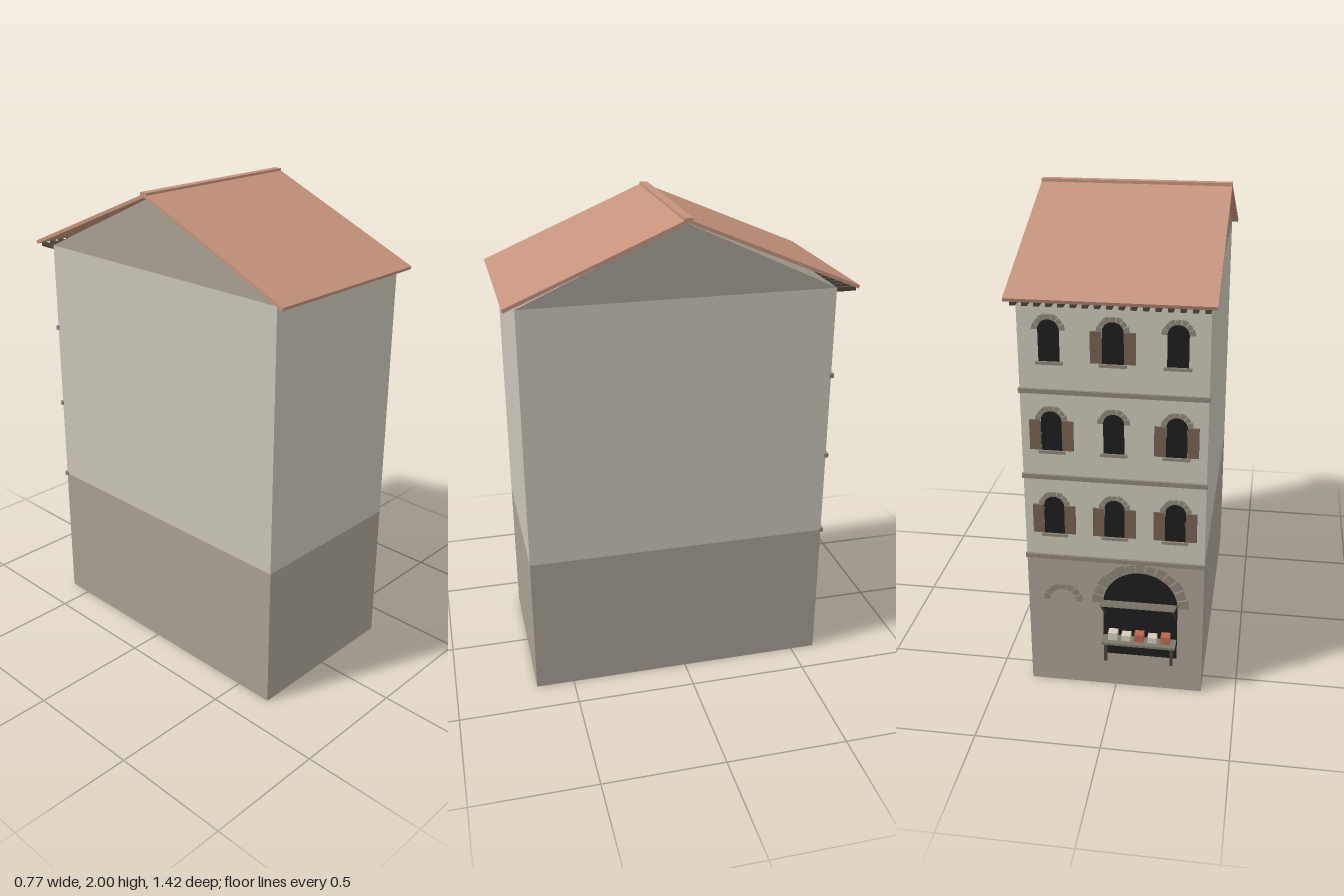
import * as THREE from 'three';

const mat = (name, color, side = THREE.FrontSide) => {
  const m = new THREE.MeshStandardMaterial({ color, side });
  m.name = name;
  return m;
};

export function createModel() {
  const M = {
    stone: mat('stone', 0xa69f92),
    plaster: mat('plaster', 0xc9c4b7),
    tile: mat('roof tile', 0xc4937c),
    trim: mat('trim stone', 0x8c8579),
    wood: mat('shutter wood', 0x75604f),
    beam: mat('dark beam', 0x4d4339),
    dark: mat('dark opening', 0x1d1d1d),
    board: mat('weathered board', 0x7c776a),
    clay: mat('clay goods', 0xb8694c),
    pale: mat('pale goods', 0xd2cabb),
  };
  const model = new THREE.Group();
  model.name = 'townHouse';

  const add = (parent, name, geo, material) => {
    const mesh = new THREE.Mesh(geo, material);
    mesh.name = name;
    parent.add(mesh);
    return mesh;
  };
  // box given by its lower and upper corners
  const box = (parent, name, material, [x0, y0, z0], [x1, y1, z1]) => {
    const g = new THREE.BoxGeometry(x1 - x0, y1 - y0, z1 - z0);
    g.translate((x0 + x1) / 2, (y0 + y1) / 2, (z0 + z1) / 2);
    return add(parent, name, g, material);
  };
  // side profile of [z, y] points, extruded across x from x0 to x1
  const prism = (parent, name, material, pts, x0, x1) => {
    const shape = new THREE.Shape(pts.map(p => new THREE.Vector2(...p)));
    const g = new THREE.ExtrudeGeometry(shape, { depth: x1 - x0, bevelEnabled: false });
    g.rotateY(-Math.PI / 2).translate(x1, 0, 0);
    return add(parent, name, g, material);
  };

  // Walls
  const W = 0.358, BACK = -0.605, FRONT = 0.66;
  box(model, 'groundFloor', M.stone, [-W, 0, BACK], [W, 0.605, FRONT]);
  box(model, 'upperFloors', M.plaster, [-W, 0.605, BACK], [W, 1.69, FRONT]);
  prism(model, 'gable', M.stone, [[BACK, 1.69], [FRONT, 1.69], [0.015, 1.98]], -W, W);

  // Roof
  const R = 0.384;
  prism(model, 'frontRoofSlope', M.tile, [[0.705, 1.688], [0.71, 1.701], [0.01, 1.996], [0.01, 1.982]], -R, R);
  prism(model, 'backRoofSlope', M.tile, [[-0.685, 1.688], [-0.69, 1.701], [0.01, 1.996], [0.01, 1.982]], -R, R);
  box(model, 'ridgeCap', M.tile, [-R, 1.984, -0.01], [R, 2, 0.024]);

  // Facade details: local x runs to the model's right, local z points outward
  const facade = new THREE.Group();
  facade.name = 'facade';
  facade.rotation.y = Math.PI;
  facade.position.z = BACK;
  model.add(facade);

  // Rafter tails under the eave
  const rafters = 17;
  for (let i = 0; i < rafters; i++) {
    const x = -0.35 + (0.7 * i) / (rafters - 1);
    box(facade, 'rafterTail', M.beam, [x - 0.01, 1.674, 0], [x + 0.01, 1.69, 0.08]);
  }

  // String courses
  for (const y of [0.605, 0.962, 1.32]) {
    box(facade, 'stringCourse', M.trim, [-0.362, y - 0.009, -0.006], [0.362, y + 0.009, 0.011]);
  }

  // Thin plate with a round head
  const archPlate = (parent, name, x, y0, spring, r) => {
    const s = new THREE.Shape();
    s.moveTo(x - r, y0);
    s.lineTo(x + r, y0);
    s.absarc(x, spring, r, 0, Math.PI, false);
    s.closePath();
    add(parent, name, new THREE.ExtrudeGeometry(s, { depth: 0.003, bevelEnabled: false, curveSegments: 16 }), M.dark);
  };
  // Ring of separate wedge stones
  const archStones = (parent, x, y, r0, r1, count) => {
    const step = Math.PI / count, gap = step * 0.07;
    for (let i = 0; i < count; i++) {
      const a = i * step + gap, b = (i + 1) * step - gap;
      const outer = i % 2 ? r1 - (r1 - r0) * 0.12 : r1;
      const s = new THREE.Shape();
      s.absarc(x, y, outer, a, b, false);
      s.absarc(x, y, r0, b, a, true);
      s.closePath();
      add(parent, 'archStone', new THREE.ExtrudeGeometry(s, { depth: 0.007, bevelEnabled: false, curveSegments: 3 }), M.trim);
    }
  };

  // Windows, lowest row first
  const shuttered = [[1, 1, 1], [1, 0, 1], [0, 1, 0]];
  shuttered.forEach((row, floor) => row.forEach((hasShutters, col) => {
    const win = new THREE.Group();
    win.name = 'window';
    win.position.set((col - 1) * 0.24, 0.7 + floor * 0.364, 0);
    facade.add(win);
    archPlate(win, 'windowOpening', 0, 0.012, 0.135, 0.04);
    archStones(win, 0, 0.135, 0.041, 0.062, 7);
    box(win, 'sill', M.trim, [-0.052, 0, 0], [0.052, 0.012, 0.011]);
    if (hasShutters) for (const s of [-1, 1]) {
      const shutter = box(win, 'shutter', M.wood, [-0.022, 0.014, 0], [0.022, 0.137, 0.007]);
      shutter.position.x = s * 0.063;
    }
  }));

  // Shop opening and blind arch
  const SX = 0.102;
  archPlate(facade, 'shopOpening', SX, 0.157, 0.4, 0.152);
  archStones(facade, SX, 0.4, 0.156, 0.198, 13);
  archStones(facade, -0.215, 0.4, 0.055, 0.08, 7);

  // Raised flap with struts
  prism(facade, 'shopFlap', M.board, [[0, 0.408], [0.103, 0.45], [0.101, 0.456], [0, 0.415]], SX - 0.15, SX + 0.15);
  for (const s of [-1, 1]) {
    const x = SX + s * 0.143;
    prism(facade, 'flapStrut', M.beam, [[0, 0.347], [0.099, 0.447], [0.095, 0.45], [0, 0.354]], x - 0.004, x + 0.004);
  }

  // Counter with goods
  box(facade, 'counterTop', M.board, [SX - 0.15, 0.24, 0], [SX + 0.15, 0.25, 0.064]);
  for (const s of [-1, 1]) {
    const x = SX + s * 0.135;
    box(facade, 'counterLeg', M.beam, [x - 0.006, 0.16, 0.048], [x + 0.006, 0.24, 0.06]);
  }
  [M.pale, M.pale, M.clay, M.pale, M.clay].forEach((m, i) => {
    const x = SX + (i - 2) * 0.054;
    box(facade, 'crate', m, [x - 0.019, 0.25, 0.006], [x + 0.019, i % 2 ? 0.276 : 0.284, 0.042]);
  });

  return model;
}
